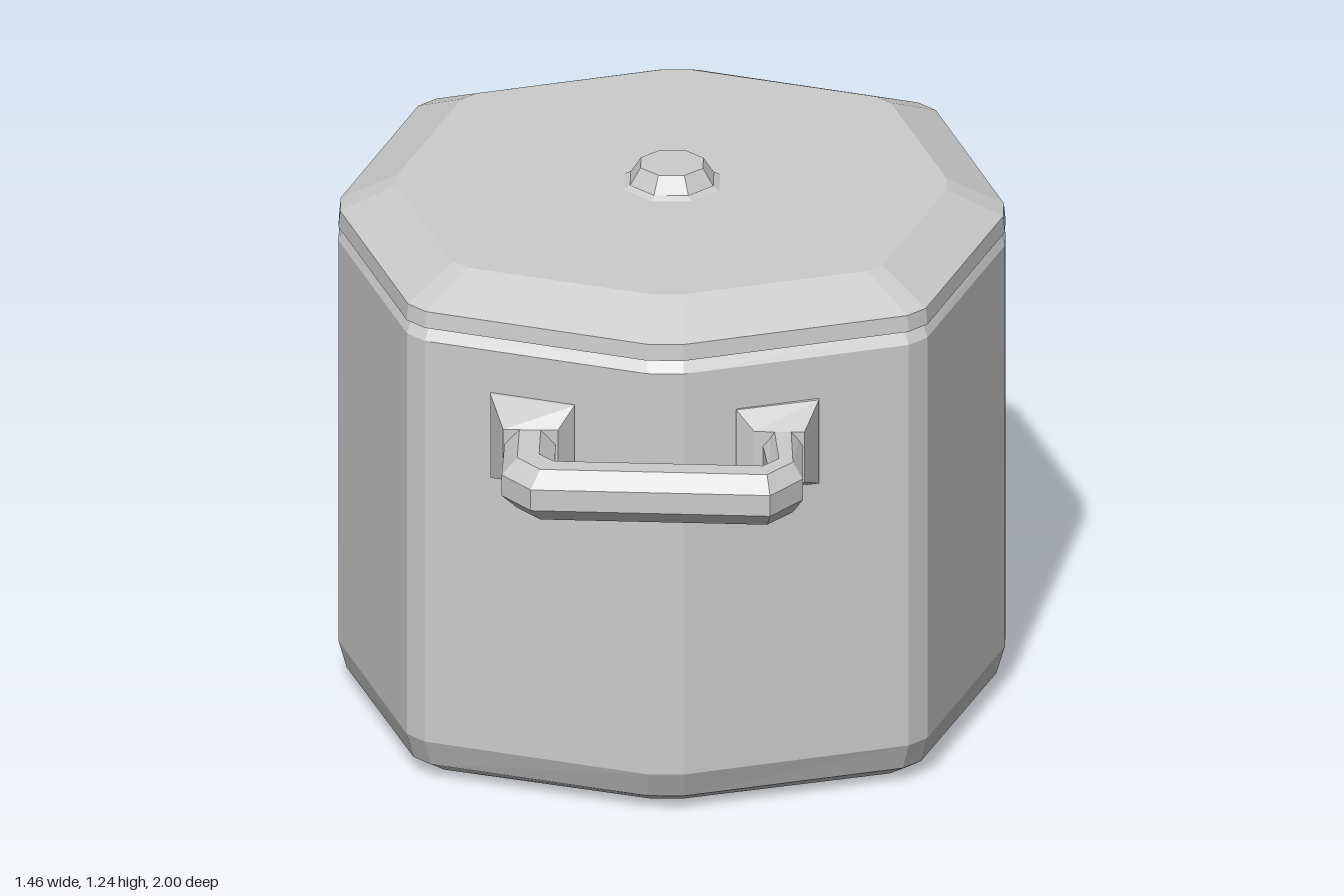
import * as THREE from 'three';

const material = new THREE.MeshStandardMaterial({ color: 0xcccccc, flatShading: true });

// Skin a stack of equal-length rings and close both ends; flip reverses the winding.
function loft(name, rings, flip = false) {
  const n = rings[0].length, pos = [];
  const tri = (a, b, c) => pos.push(...a, ...(flip ? c : b), ...(flip ? b : c));
  const middle = (r) => [0, 1, 2].map((k) => r.reduce((s, p) => s + p[k], 0) / n);
  const first = rings[0], last = rings[rings.length - 1];
  for (let j = 0; j < n; j++) {
    const k = (j + 1) % n;
    for (let i = 0; i + 1 < rings.length; i++) {
      const a = rings[i], b = rings[i + 1];
      tri(a[j], b[j], a[k]);
      tri(a[k], b[j], b[k]);
    }
    tri(middle(first), first[j], first[k]);
    tri(middle(last), last[k], last[j]);
  }
  const geometry = new THREE.BufferGeometry();
  geometry.setAttribute('position', new THREE.Float32BufferAttribute(pos, 3));
  geometry.computeVertexNormals();
  const mesh = new THREE.Mesh(geometry, material);
  mesh.name = name;
  return mesh;
}

// Eight-sided plan with bevelled corners, one quarter mirrored all round
const quarter = [[0.73, 0.035], [0.57, 0.53], [0.53, 0.57], [0.04, 0.735]];
const reversed = [...quarter].reverse();
const plan = [
  ...quarter,
  ...reversed.map(([x, z]) => [-x, z]),
  ...quarter.map(([x, z]) => [-x, -z]),
  ...reversed.map(([x, z]) => [x, -z]),
];
const planRing = ([y, sx, sz]) => plan.map(([x, z]) => [x * sx, y, z * sz]);

// Bent handle: each section runs from an inner point to an outer point (x, z)
const handleSections = [
  [-0.24, 0.62, -0.35, 0.62],
  [-0.24, 0.85, -0.355, 0.9],
  [-0.22, 0.87, -0.29, 0.98],
  [0.21, 0.885, 0.235, 1.0],
  [0.23, 0.865, 0.305, 0.91],
  [0.2, 0.62, 0.3, 0.62],
];

function handle(side) {
  const rings = handleSections.map(([xi, zi, xo, zo]) =>
    Array.from({ length: 8 }, (_, k) => {
      const a = ((k + 0.5) * Math.PI) / 4, c = Math.cos(Math.PI / 8);
      const u = 0.5 + (0.5 * Math.cos(a)) / c;
      return [xi + (xo - xi) * u, 0.86 + (0.06 * Math.sin(a)) / c, side * (zi + (zo - zi) * u)];
    }));
  return loft('handleBar', rings, side < 0);
}

// Pyramid-like mount that tapers from the pot wall to the handle
function mount(side, base, tip) {
  const wall = (x) => 0.74 - 0.32 * Math.abs(x);
  const rect = ([x0, x1], y0, y1, z) =>
    [[x0, y0], [x0, y1], [x1, y1], [x1, y0]].map(([x, y]) => [x, y, side * z(x)]);
  return loft('handleMount', [
    rect(base, 0.76, 0.96, (x) => wall(x) - 0.05),
    rect(base, 0.76, 0.96, (x) => wall(x) + 0.018),
    rect(tip, 0.8, 0.92, () => 0.735),
  ], side < 0);
}

export function createModel() {
  const model = new THREE.Group();
  model.name = 'cookingPot';

  // Pot body with a chamfered foot
  model.add(loft('potBody', [
    [0, 0.92, 0.88], [0.035, 0.975, 0.968], [0.1, 1, 1.01],
    [1.06, 1, 1.01], [1.085, 0.985, 0.985],
  ].map(planRing)));

  // Lid with a narrow upright rim and a sloped border
  model.add(loft('lid', [
    [1.08, 0.96, 0.96], [1.092, 1, 1.012], [1.13, 0.995, 1.008], [1.19, 0.825, 0.825],
  ].map(planRing)));

  // Lid knob: flared foot and tapered button
  const knob = new THREE.Group();
  knob.name = 'knob';
  for (const [top, bottom, height, y] of [[0.1, 0.12, 0.012, 1.192], [0.074, 0.1, 0.04, 1.216]]) {
    const part = new THREE.Mesh(new THREE.CylinderGeometry(top, bottom, height, 8), material);
    part.name = 'knobPart';
    part.rotation.y = Math.PI / 8;
    part.position.y = y;
    knob.add(part);
  }
  model.add(knob);

  // Front and back handles
  for (const side of [1, -1]) {
    const group = new THREE.Group();
    group.name = side > 0 ? 'frontHandle' : 'backHandle';
    group.add(handle(side));
    group.add(mount(side, [-0.385, -0.2], [-0.355, -0.235]));
    group.add(mount(side, [0.155, 0.335], [0.195, 0.305]));
    model.add(group);
  }
  return model;
}
